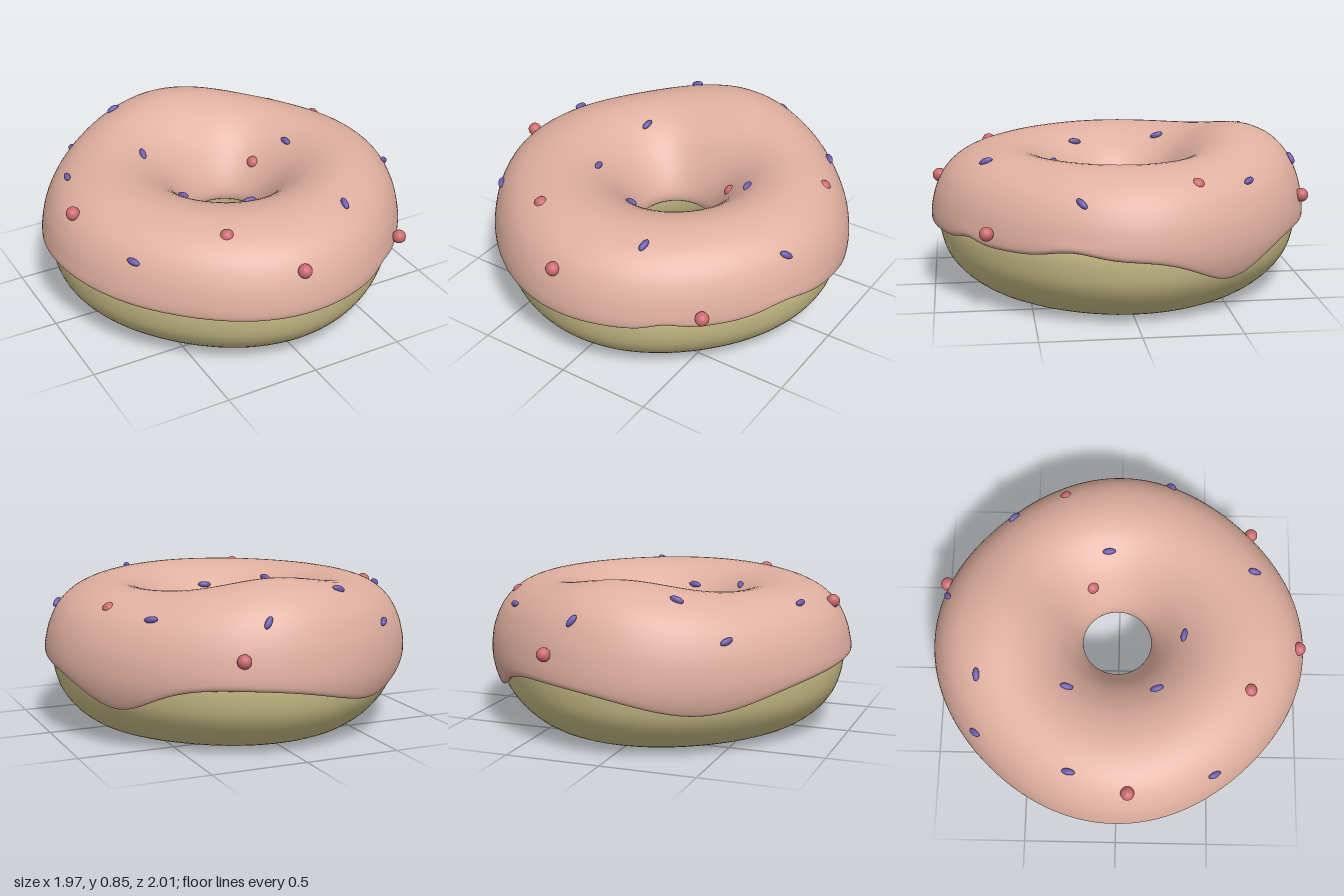
import * as THREE from 'three';

const bump = (a, centre, width) => {
  const d = Math.atan2(Math.sin(a - centre), Math.cos(a - centre)) / width;
  return Math.exp(-d * d);
};

// Puts a profile point (radius, height) at angle a (0 = front, +90 deg = +x),
// with a slightly uneven outline, an off-centre hole and a raised back.
function place(a, r, y) {
  const t = THREE.MathUtils.smoothstep(r, 0.25, 0.9);
  const rr = r * (1 + t * (0.011 * Math.cos(2 * a) + 0.018 * Math.cos(4 * a)));
  const lift = Math.max(0, y - 0.4) * 0.22 * bump(a, Math.PI, 0.6);
  return [rr * Math.sin(a) + 0.027 * (1 - t), y + lift, rr * Math.cos(a) - 0.008 * (1 - t)];
}

// Sweeps a smooth closed profile, which may change with the angle, around y.
function ringGeometry(profileAt, rings, steps) {
  const positions = [], index = [];
  for (let i = 0; i < rings; i++) {
    const a = (i / rings) * Math.PI * 2;
    const pts = profileAt(a).map(([r, y]) => new THREE.Vector3(r, y, 0));
    const curve = new THREE.CatmullRomCurve3(pts, true, 'centripetal');
    for (let j = 0; j < steps; j++) {
      const p = curve.getPoint(j / steps);
      positions.push(...place(a, p.x, p.y));
      const i2 = (i + 1) % rings, j2 = (j + 1) % steps;
      const A = i * steps + j, B = i2 * steps + j, C = i2 * steps + j2, D = i * steps + j2;
      index.push(A, B, C, A, C, D);
    }
  }
  const geo = new THREE.BufferGeometry();
  geo.setAttribute('position', new THREE.Float32BufferAttribute(positions, 3));
  geo.setIndex(index);
  geo.computeVertexNormals();
  return geo;
}

// Dough profile, from the flat base up the outside and down through the hole
const doughProfile = [
  [0.5, 0.003], [0.6, 0.003], [0.71, 0.025], [0.82, 0.1], [0.897, 0.2], [0.93, 0.3], [0.94, 0.4],
  [0.915, 0.5], [0.84, 0.62], [0.65, 0.69], [0.45, 0.65], [0.29, 0.52], [0.215, 0.42],
  [0.21, 0.36], [0.24, 0.25], [0.31, 0.11], [0.4, 0.03],
];
const doughRadius = (y) => 0.94 - Math.max(0, 0.4 - y) ** 2;

// Height of the icing's lower edge: two big drips and a few ripples
const edgeHeight = (a) => 0.37
  - 0.15 * bump(a, 2.11, 0.31) - 0.125 * bump(a, -2.63, 0.45)
  + 0.035 * bump(a, 1.22, 0.17) + 0.025 * bump(a, 0.55, 0.1)
  + 0.025 * bump(a, -1.5, 0.4) - 0.01 * bump(a, -0.2, 0.4);

function icingProfile(a) {
  const e = edgeHeight(a), mid = (e + 0.46) / 2;
  return [
    [doughRadius(e + 0.06) - 0.03, e + 0.06], [doughRadius(e) - 0.005, e + 0.012],
    [doughRadius(e) + 0.022, e], [doughRadius(e) + 0.036, e + 0.015],
    [doughRadius(mid) + 0.038, mid], [0.973, 0.46], [0.95, 0.55], [0.895, 0.65],
    [0.8, 0.727], [0.65, 0.768], [0.5, 0.745], [0.36, 0.66], [0.26, 0.55],
    [0.2, 0.45], [0.186, 0.4], [0.195, 0.365], [0.235, 0.4],
    [0.33, 0.52], [0.5, 0.63], [0.68, 0.65], [0.83, 0.58],
  ];
}

// Round candies: x, y, z
const candies = [
  [0.31, 0.515, -0.945], [0.76, 0.69, -0.3], [0.285, 0.57, -0.15], [-0.885, 0.68, 0.06],
  [-0.34, 0.725, 0.685], [-0.06, 0.595, 0.96], [0.665, 0.45, 0.73],
];

// Sprinkles: x, z and direction seen from above (degrees from +x toward +z)
const sprinkles = [
  [0.17, -0.91, 120], [-0.555, -0.735, 95], [-0.3, -0.725, 5], [0.64, -0.58, 35],
  [-0.785, -0.24, 100], [-0.34, -0.265, 90], [0.44, -0.06, 85], [-0.335, 0.205, 80],
  [-0.02, 0.35, 15], [-0.757, 0.505, 75], [0.317, 0.715, 92], [0.86, 0.275, 165],
];

export function createModel() {
  const model = new THREE.Group();
  const material = (color) => new THREE.MeshStandardMaterial({ color });
  const add = (geo, mat, name, parent = model) => {
    const mesh = new THREE.Mesh(geo, mat);
    mesh.name = name;
    parent.add(mesh);
    return mesh;
  };

  add(ringGeometry(() => doughProfile, 96, 64), material(0xd0c48c), 'dough');
  const icing = add(ringGeometry(icingProfile, 160, 84), material(0xe0b0a0), 'icing');

  const candyGroup = new THREE.Group();
  candyGroup.name = 'candies';
  const candyGeo = new THREE.SphereGeometry(0.036, 20, 14);
  const candyMat = material(0xcc6a70);
  for (const p of candies) add(candyGeo, candyMat, 'candy', candyGroup).position.set(...p);

  // Sprinkles lie flat on the icing surface
  const sprinkleGroup = new THREE.Group();
  sprinkleGroup.name = 'sprinkles';
  const sprinkleGeo = new THREE.SphereGeometry(1, 14, 10).scale(0.036, 0.017, 0.017);
  const sprinkleMat = material(0x6c5cae);
  const ray = new THREE.Raycaster();
  const down = new THREE.Vector3(0, -1, 0);
  icing.updateMatrixWorld();
  for (const [x, z, deg] of sprinkles) {
    ray.set(new THREE.Vector3(x, 2, z), down);
    const hit = ray.intersectObject(icing)[0];
    if (!hit) continue;
    const normal = hit.face.normal;
    const angle = THREE.MathUtils.degToRad(deg);
    const along = new THREE.Vector3(Math.cos(angle), 0, Math.sin(angle)).projectOnPlane(normal).normalize();
    const across = new THREE.Vector3().crossVectors(along, normal);
    const mesh = add(sprinkleGeo, sprinkleMat, 'sprinkle', sprinkleGroup);
    mesh.quaternion.setFromRotationMatrix(new THREE.Matrix4().makeBasis(along, normal, across));
    mesh.position.copy(hit.point).addScaledVector(normal, 0.006);
  }

  model.add(candyGroup, sprinkleGroup);
  return model;
}
